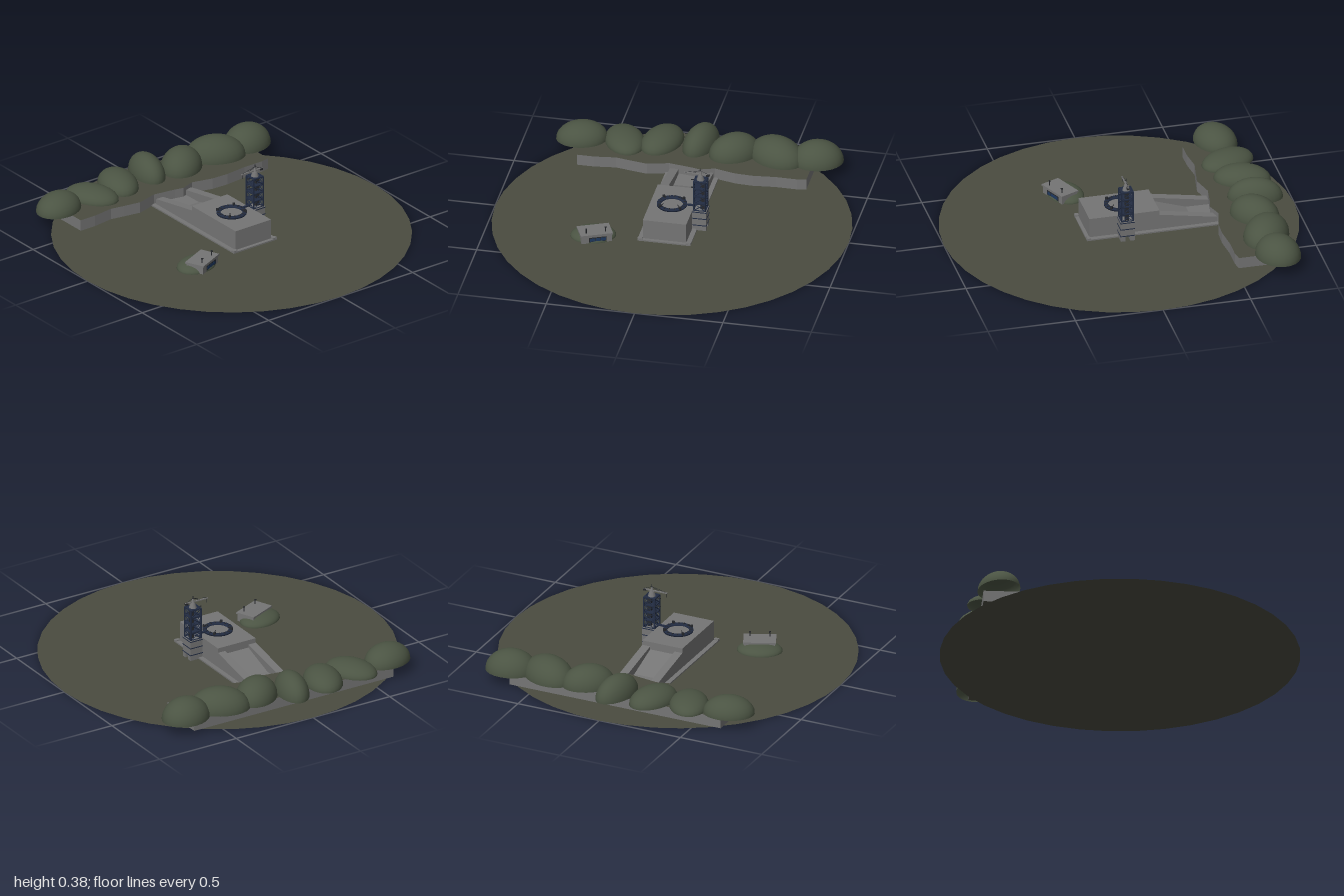
import * as THREE from 'three';

const mat = (name, color, side = THREE.FrontSide) => {
  const m = new THREE.MeshStandardMaterial({ color, side });
  m.name = name;
  return m;
};

export function createModel() {
  const earth = mat('earth', 0x4a4c40, THREE.DoubleSide);
  const grass = mat('grass', 0x4b5443, THREE.DoubleSide);
  const concrete = mat('concrete', 0x757575);
  const steel = mat('navy steel', 0x222c42);
  const dark = mat('dark metal', 0x26282c);
  const glass = mat('window blue', 0x1f3a60);

  const model = new THREE.Group();
  model.name = 'launchSite';
  const group = (name, parent = model) => {
    const g = new THREE.Group();
    g.name = name;
    parent.add(g);
    return g;
  };
  const add = (name, geo, material, parent, x = 0, y = 0, z = 0) => {
    const m = new THREE.Mesh(geo, material);
    m.name = name;
    m.position.set(x, y, z);
    parent.add(m);
    return m;
  };
  const box = (name, w, h, d, material, parent, x, y, z) =>
    add(name, new THREE.BoxGeometry(w, h, d), material, parent, x, y, z);
  // Thin square bar between two points
  const bar = (name, a, b, t, material, parent) => {
    const p = new THREE.Vector3(...a), q = new THREE.Vector3(...b);
    const m = box(name, t, t, p.distanceTo(q), material, parent, 0, 0, 0);
    m.position.copy(p).add(q).multiplyScalar(0.5);
    m.quaternion.setFromUnitVectors(new THREE.Vector3(0, 0, 1), q.sub(p).normalize());
    return m;
  };
  // Side profile in [z, y] pairs, extruded across x
  const profile = (name, pts, x0, x1, material, parent) => {
    const s = new THREE.Shape(pts.map(([z, y]) => new THREE.Vector2(-z, y)));
    const geo = new THREE.ExtrudeGeometry(s, { depth: x1 - x0, bevelEnabled: false });
    geo.rotateY(Math.PI / 2);
    return add(name, geo, material, parent, x0, 0, 0);
  };

  // Ground disc
  add('ground', new THREE.CircleGeometry(1, 40).rotateX(-Math.PI / 2), earth, model);

  // Raised terrace with a wavy retaining wall
  const edge = [[-0.65, -0.525], [-0.55, -0.525], [-0.43, -0.54], [-0.35, -0.525], [-0.25, -0.508],
    [-0.13, -0.54], [0, -0.52], [0.05, -0.508], [0.13, -0.535], [0.25, -0.505], [0.35, -0.5],
    [0.48, -0.513], [0.6, -0.512], [0.65, -0.522]];
  const outline = [...edge, [0.65, -0.8], [-0.65, -0.8]].map(([x, z]) => new THREE.Vector2(x, -z));
  add('terrace', new THREE.ExtrudeGeometry(new THREE.Shape(outline),
    { depth: 0.064, bevelEnabled: false }).rotateX(-Math.PI / 2), [earth, concrete], model, 0, 0.002, 0);

  // Row of domed hills: x, z, half width, half depth, top, turn
  const hills = group('hills');
  [[-0.66, -0.715, 0.145, 0.115, 0.165, 0.3], [-0.42, -0.725, 0.11, 0.16, 0.132, 0.4],
    [-0.215, -0.757, 0.108, 0.16, 0.15, -0.3], [0.0, -0.777, 0.09, 0.155, 0.182, -0.22],
    [0.2, -0.725, 0.15, 0.115, 0.182, 0.7], [0.44, -0.73, 0.17, 0.125, 0.185, -0.5],
    [0.668, -0.74, 0.145, 0.123, 0.185, 0.25]].forEach(([x, z, rx, rz, top, turn]) => {
    const hill = add('hill', new THREE.SphereGeometry(1, 24, 8, 0, Math.PI * 2, 0, Math.PI / 2),
      grass, hills, x, 0.067, z);
    hill.scale.set(rx, top - 0.067, rz);
    hill.rotation.y = turn;
  });

  // Launch pad: footing, raised block and flame trench
  const pad = group('launchPad');
  box('footing', 0.3, 0.008, 0.76, concrete, pad, 0, 0.006, -0.16);
  box('padBlock', 0.246, 0.123, 0.4, concrete, pad, 0, 0.0635, 0);
  for (const s of [-1, 1]) {
    profile('trenchWall', [[-0.2, 0.002], [-0.2, 0.098], [-0.53, 0.04], [-0.53, 0.002]],
      s < 0 ? -0.123 : 0.075, s < 0 ? -0.075 : 0.123, concrete, pad);
    box('frontCurb', 0.027, 0.014, 0.02, concrete, pad, s * 0.1365, 0.009, 0.208);
  }
  profile('trenchFloor', [[-0.2, 0.003], [-0.2, 0.08], [-0.4, 0.014], [-0.53, 0.012], [-0.53, 0.003]],
    -0.075, 0.075, concrete, pad);

  // Launch ring with supports and hold-down clamps
  const ring = group('launchRing');
  ring.position.y = 0.125;
  const ringProfile = [[0.062, 0], [0.084, 0], [0.084, 0.011], [0.062, 0.011], [0.062, 0]];
  add('ringDeck', new THREE.LatheGeometry(ringProfile.map(p => new THREE.Vector2(...p)), 32),
    steel, ring);
  for (let i = 0; i < 16; i++) {
    const a = i * Math.PI / 8;
    const rib = box('ringRib', 0.018, 0.003, 0.004, dark, ring,
      Math.cos(a) * 0.073, 0.012, Math.sin(a) * 0.073);
    rib.rotation.y = -a;
  }
  for (let i = 0; i < 4; i++) {
    const a = Math.PI / 4 + i * Math.PI / 2, c = Math.cos(a), s = Math.sin(a);
    const clamp = box('clamp', 0.012, 0.014, 0.012, dark, ring, c * 0.08, 0.016, s * 0.08);
    clamp.rotation.y = -a;
    bar('clampArm', [c * 0.08, 0.016, s * 0.08], [c * 0.057, 0.025, s * 0.057], 0.004, dark, ring);
  }

  // Service tower: concrete plinth and steel lattice
  const tower = group('serviceTower');
  tower.position.x = 0.162;
  for (const s of [-1, 1]) box('plinthLeg', 0.08, 0.03, 0.026, concrete, tower, 0, 0.017, s * 0.027);
  box('plinth', 0.08, 0.09, 0.08, concrete, tower, 0, 0.077, 0);
  for (const y of [0.034, 0.076, 0.116]) box('plinthBand', 0.083, 0.005, 0.083, steel, tower, 0, y, 0);
  const h = 0.033, base = 0.122, bay = 0.0455, bays = 4, roof = base + bay * bays;
  const corners = [[-h, -h], [h, -h], [h, h], [-h, h]];
  corners.forEach(([x, z], i) => {
    const [u, v] = corners[(i + 1) % 4];
    bar('towerPost', [x, base, z], [x, roof, z], 0.007, steel, tower);
    for (let k = 0; k <= bays; k++) {
      const y = base + k * bay;
      bar('towerRail', [x, y, z], [u, y, v], 0.006, steel, tower);
      if (k === bays) continue;
      bar('towerBrace', [x, y, z], [u, y + bay, v], 0.0035, steel, tower);
      bar('towerBrace', [u, y, v], [x, y + bay, z], 0.0035, steel, tower);
    }
  });
  box('liftShaft', 0.022, bay * bays, 0.022, dark, tower, 0.012, base + bay * bays / 2, 0);
  for (let k = 1; k <= bays; k++)
    box('towerFloor', 0.064, 0.003, 0.064, steel, tower, 0, base + k * bay, 0);
  box('accessArm', 0.05, 0.008, 0.012, steel, tower, -0.06, 0.136, 0);
  for (const y of [0.25, 0.3]) box('umbilicalArm', 0.022, 0.004, 0.006, dark, tower, -0.044, y, 0);

  // Crane on the tower roof
  const crane = group('crane', tower);
  crane.position.y = roof;
  add('craneCabin', new THREE.CylinderGeometry(0.014, 0.023, 0.028, 8), concrete, crane, 0, 0.015, 0);
  add('craneCap', new THREE.CylinderGeometry(0.004, 0.012, 0.025, 8), concrete, crane, 0, 0.041, 0);
  box('jib', 0.145, 0.006, 0.008, concrete, crane, -0.022, 0.035, 0);
  box('counterweight', 0.018, 0.01, 0.014, dark, crane, 0.042, 0.032, 0);
  bar('craneMast', [0, 0.03, 0], [0, 0.072, 0], 0.003, dark, crane);
  for (const x of [-0.09, -0.045, 0.045])
    bar('craneStay', [x, 0.037, 0], [0, 0.058, 0], 0.0015, dark, crane);
  bar('hoistCable', [-0.088, 0.034, 0], [-0.088, 0.008, 0], 0.0015, dark, crane);

  // Control bunker set into an earth mound
  const mound = add('bunkerMound',
    new THREE.SphereGeometry(1, 24, 8, 0, Math.PI * 2, 0, Math.PI / 2), grass, model, -0.402, 0.001, 0.207);
  mound.scale.set(0.128, 0.046, 0.098);
  mound.rotation.y = 0.3;
  const bunker = group('bunker');
  bunker.position.set(-0.386, 0, 0.24);
  bunker.rotation.y = 0.42;
  box('bunkerBody', 0.172, 0.044, 0.105, concrete, bunker, 0, 0.024, 0);
  box('bunkerRoof', 0.182, 0.01, 0.116, concrete, bunker, 0, 0.05, 0);
  box('windowFrame', 0.1, 0.026, 0.004, dark, bunker, 0.005, 0.023, 0.054);
  for (let i = -1; i <= 1; i++)
    box('window', 0.028, 0.018, 0.003, glass, bunker, 0.005 + i * 0.031, 0.023, 0.056);
  for (const x of [-0.055, 0.055]) {
    add('periscope', new THREE.CylinderGeometry(0.003, 0.003, 0.03, 8), dark, bunker, x, 0.068, 0.03);
    box('periscopeHead', 0.009, 0.006, 0.009, dark, bunker, x, 0.081, 0.03);
  }
  return model;
}
